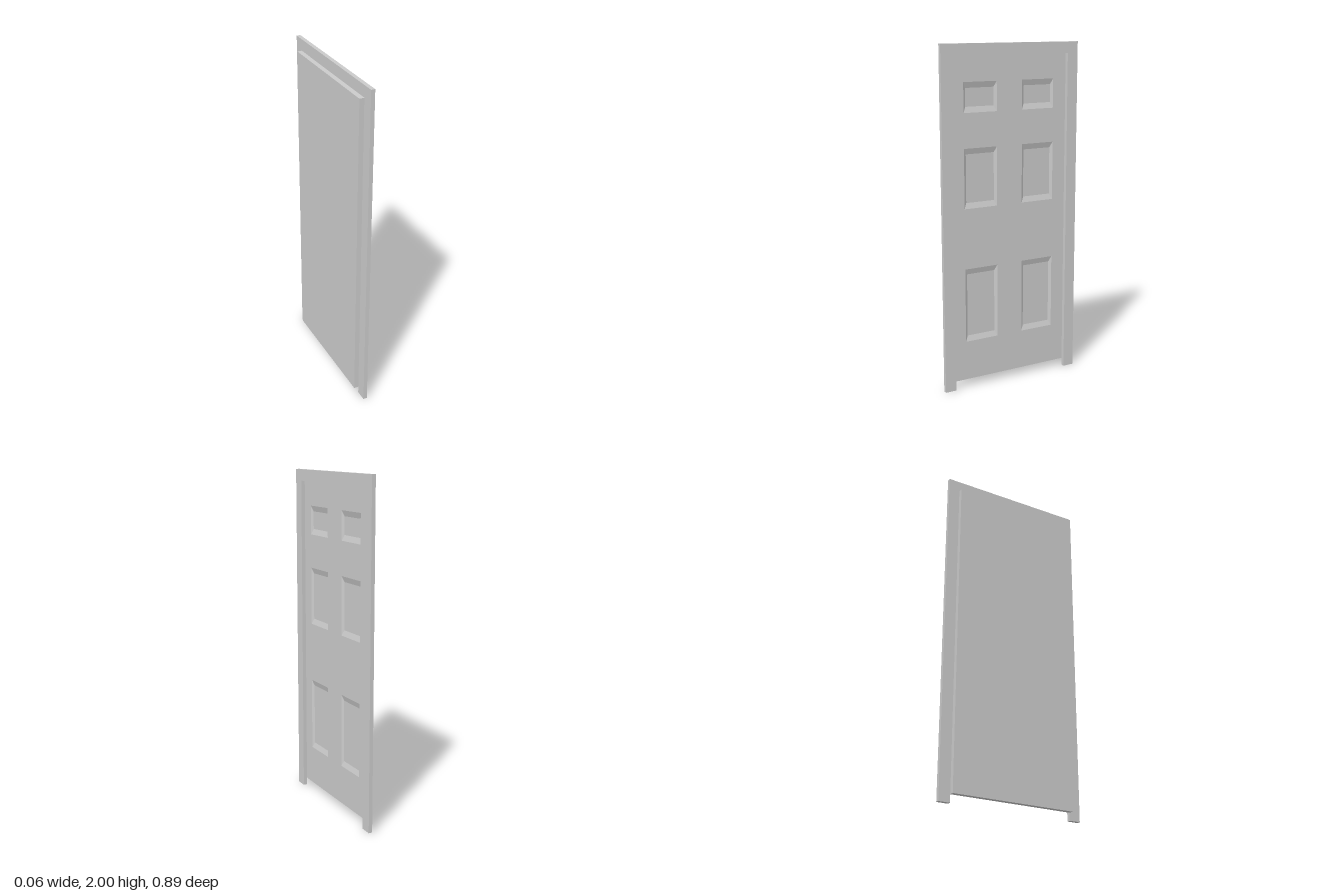
import * as THREE from 'three';
import { mergeGeometries } from 'three/addons/utils/BufferGeometryUtils.js';

const material = new THREE.MeshStandardMaterial({ color: 0xcccccc });

// Corners of a rectangle, counter-clockwise
const corners = (x0, y0, x1, y1, z) =>
  [[x0, y0, z], [x1, y0, z], [x1, y1, z], [x0, y1, z]];

function boxMesh(name, x0, x1, y0, y1, z0, z1) {
  const mesh = new THREE.Mesh(new THREE.BoxGeometry(x1 - x0, y1 - y0, z1 - z0), material);
  mesh.position.set((x0 + x1) / 2, (y0 + y1) / 2, (z0 + z1) / 2);
  mesh.name = name;
  return mesh;
}

// Sunken panel: four sloped sides and a flat floor
function recess(x0, y0, x1, y1, z) {
  const side = 0.016, rise = 0.033, depth = 0.01;
  const outer = corners(x0, y0, x1, y1, z);
  const inner = corners(x0 + side, y0 + rise, x1 - side, y1 - rise, z - depth);
  const points = [];
  const quad = (a, b, c, d) => points.push(...a, ...b, ...c, ...a, ...c, ...d);
  for (let i = 0; i < 4; i++) {
    const j = (i + 1) % 4;
    quad(outer[i], outer[j], inner[j], inner[i]);
  }
  quad(...inner);
  const geometry = new THREE.BufferGeometry();
  geometry.setAttribute('position', new THREE.Float32BufferAttribute(points, 3));
  geometry.computeVertexNormals();
  return geometry;
}

function createDoor() {
  const half = 0.375, bottom = 0.045, top = 1.933, front = 0.0015, back = -0.0265;

  // Slab with its front left open
  const slab = new THREE.BoxGeometry(half * 2, top - bottom, front - back);
  slab.setIndex(Array.from(slab.index.array).filter((_, i) => i < 24 || i >= 30));
  slab.translate(0, (top + bottom) / 2, (front + back) / 2);

  // Front face with an opening for each panel
  const face = new THREE.Shape(corners(-half, bottom, half, top, 0).map(([x, y]) => new THREE.Vector2(x, y)));
  const recesses = [];
  for (const [x0, x1] of [[-0.296, -0.085], [0.08, 0.291]]) {
    for (const [y0, y1] of [[0.28, 0.72], [1.075, 1.42], [1.62, 1.79]]) {
      face.holes.push(new THREE.Path(corners(x0, y0, x1, y1, 0).map(([x, y]) => new THREE.Vector2(x, y)).reverse()));
      recesses.push(recess(x0, y0, x1, y1, front));
    }
  }
  const faceGeometry = new THREE.ShapeGeometry(face).translate(0, 0, front);

  const parts = [slab.toNonIndexed(), faceGeometry.toNonIndexed(), ...recesses];
  parts.forEach((part) => part.deleteAttribute('uv'));
  const door = new THREE.Mesh(mergeGeometries(parts), material);
  door.name = 'door';
  return door;
}

export function createModel() {
  const model = new THREE.Group();
  model.name = 'panelDoor';

  // Frame around the door, standing in front of it
  const frame = new THREE.Group();
  frame.name = 'doorFrame';
  const outer = 0.443, inner = 0.375, header = 1.933, z0 = 0.0015, z1 = 0.0245;
  frame.add(
    boxMesh('jamb', -outer, -inner, 0, header, z0, z1),
    boxMesh('jamb', inner, outer, 0, header, z0, z1),
    boxMesh('header', -outer, outer, header, 2, z0, z1)
  );

  // Everything is built facing +z, then turned to face +x with a slight skew
  const turned = new THREE.Group();
  turned.name = 'doorAssembly';
  turned.add(frame, createDoor());
  turned.rotation.y = Math.PI / 2 - 0.0055;
  model.add(turned);
  return model;
}
